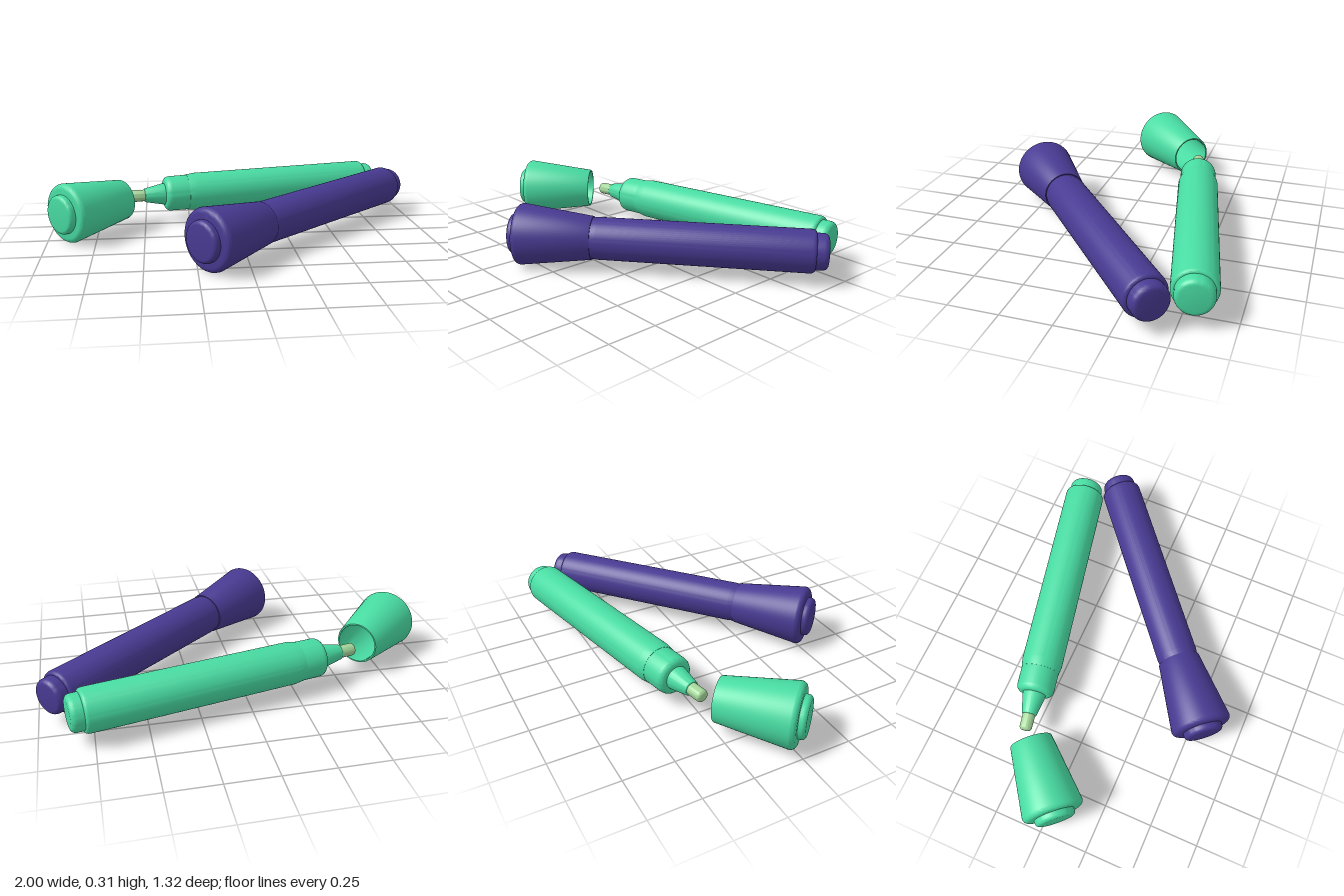
import * as THREE from 'three';
import { toCreasedNormals } from 'three/addons/utils/BufferGeometryUtils.js';

const green = new THREE.MeshStandardMaterial({ color: 0x48dba2 });
green.name = 'mint green';
const purple = new THREE.MeshStandardMaterial({ color: 0x483a92 });
purple.name = 'deep purple';
const pale = new THREE.MeshStandardMaterial({ color: 0xa3d69a });
pale.name = 'pale nib';

// Quarter-round corner from (r0, s0) to (r1, s1); outFirst leaves along the radius
function round(r0, s0, r1, s1, outFirst) {
  const pts = [];
  for (let i = 0; i <= 5; i++) {
    const a = (i / 5) * Math.PI / 2, u = Math.sin(a), v = 1 - Math.cos(a);
    pts.push(outFirst
      ? [r0 + (r1 - r0) * u, s0 + (s1 - s0) * v]
      : [r0 + (r1 - r0) * v, s0 + (s1 - s0) * u]);
  }
  return pts;
}

// Turned part: profile points are [radius, distance along the axis]
function turned(name, profile, material) {
  const pts = profile.map(([r, s]) => new THREE.Vector2(r, s));
  const mesh = new THREE.Mesh(toCreasedNormals(new THREE.LatheGeometry(pts, 64), 0.5), material);
  mesh.name = name;
  return mesh;
}

// Pen without cap: the body starts at 0, the nib lies on the negative side
function makePen(material) {
  const pen = new THREE.Group();
  pen.name = 'pen';
  pen.add(
    turned('nib', [
      [0, -0.37], ...round(0.016, -0.37, 0.032, -0.352, true), [0.032, -0.27],
    ], pale),
    turned('nibHolder', [
      [0.03, -0.287], ...round(0.033, -0.287, 0.039, -0.28, true), [0.058, -0.19], [0.061, -0.16],
    ], material),
    turned('collar', [
      [0.05, -0.174], ...round(0.068, -0.174, 0.097, -0.142, true), [0.098, -0.04],
    ], material),
    turned('barrel', [
      [0.096, -0.045], [0.099, -0.045], [0.106, 0], [0.106, 1.022],
      ...round(0.106, 1.022, 0.092, 1.045, false), [0.08, 1.045],
    ], material),
    turned('endPlug', [
      [0.089, 1.03], [0.089, 1.078], ...round(0.089, 1.078, 0.066, 1.105, false), [0, 1.105],
    ], material),
  );
  return pen;
}

// Hollow cap: wide closed end at 0, mouth at 0.37
function makeCap(material) {
  const cap = new THREE.Group();
  cap.name = 'cap';
  cap.add(
    turned('capShell', [
      [0, -0.016], ...round(0.128, -0.016, 0.155, 0.012, true),
      [0.109, 0.366], [0.107, 0.37], [0.1, 0.37], [0.098, 0.366],
      [0.13, 0.03], [0, 0.02],
    ], material),
    turned('capPlug', [
      [0, -0.05], ...round(0.082, -0.05, 0.102, -0.03, true), [0.102, -0.01],
    ], material),
  );
  return cap;
}

// Lay a part flat with its axis along (dx, dz)
function lay(part, x, z, dx, dz) {
  part.position.set(x, 0.155, z);
  part.quaternion.setFromUnitVectors(
    new THREE.Vector3(0, 1, 0), new THREE.Vector3(dx, 0, dz).normalize());
  return part;
}

export function createModel() {
  const model = new THREE.Group();
  model.name = 'markers';

  // Open green marker with its cap lying apart
  const open = new THREE.Group();
  open.name = 'openMarker';
  open.add(
    lay(makePen(green), -0.222, -0.345, 0.978, -0.206),
    lay(makeCap(green), -0.895, 0.036, 0.733, -0.68),
  );

  // Closed purple marker
  const closed = new THREE.Group();
  closed.name = 'closedMarker';
  const pen = makePen(purple);
  pen.position.y = 0.398;
  const body = new THREE.Group();
  body.name = 'cappedPen';
  body.add(pen, makeCap(purple));
  closed.add(lay(body, -0.205, 0.545, 0.767, -0.642));

  model.add(open, closed);
  return model;
}
